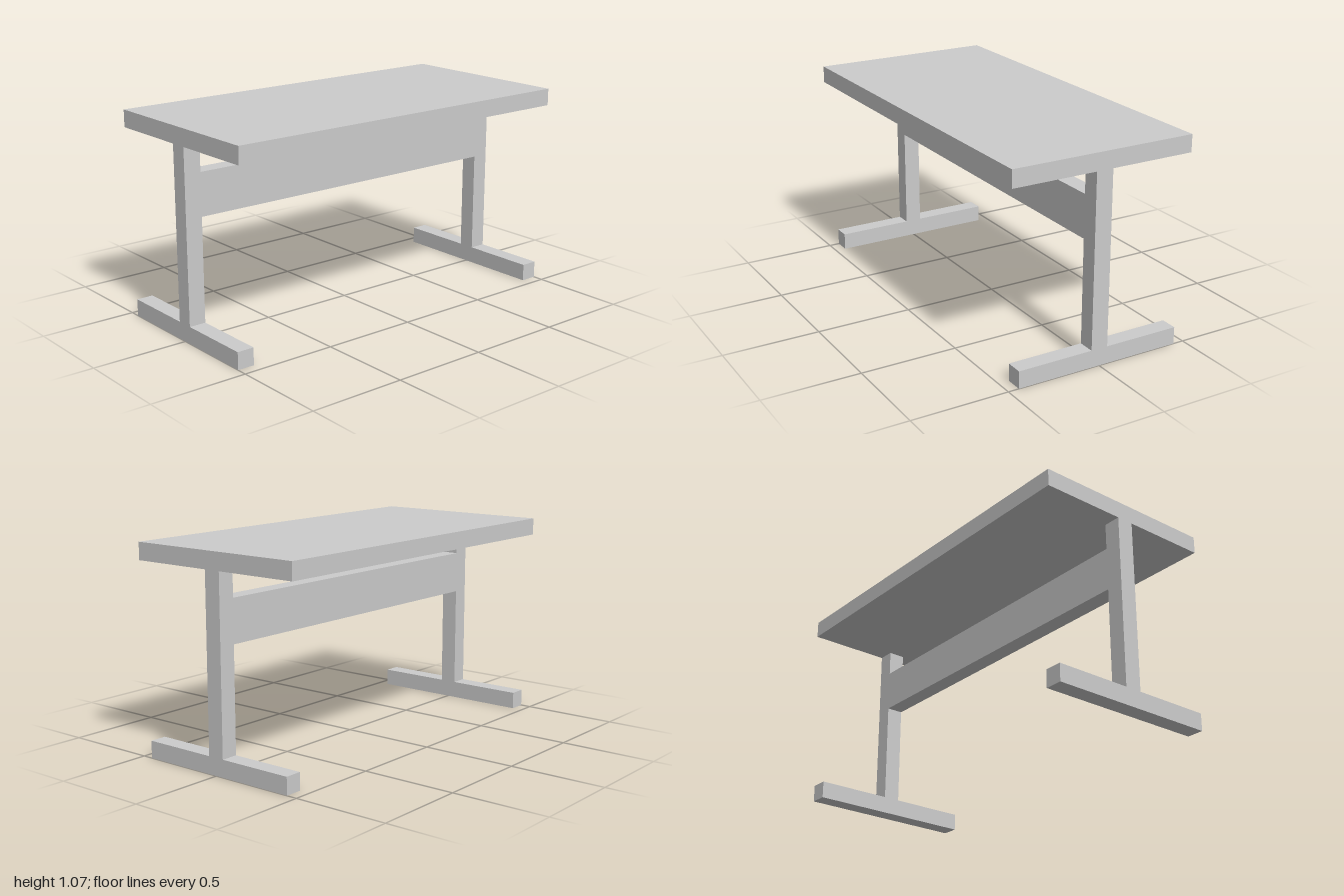
import * as THREE from 'three';

const material = new THREE.MeshStandardMaterial({ color: 0xcccccc, flatShading: true });

// Box centred on x, standing on height y0 and reaching up to y1
function beam(name, width, y0, y1, depth, z = 0) {
  const mesh = new THREE.Mesh(new THREE.BoxGeometry(width, y1 - y0, depth), material);
  mesh.name = name;
  mesh.position.set(0, (y0 + y1) / 2, z);
  return mesh;
}

export function createModel() {
  const table = new THREE.Group();
  table.name = 'table';

  const thick = 0.089; // shared timber thickness
  const topY = 1.068;
  const underside = topY - thick;

  table.add(beam('tableTop', 0.976, underside, topY, 2));

  // T-shaped legs, flush with both ends of the top
  for (const [side, label] of [[1, 'front'], [-1, 'back']]) {
    const leg = new THREE.Group();
    leg.name = label + 'Leg';
    const z = side * (1 - thick / 2);
    leg.add(beam(label + 'Foot', 0.888, 0, thick, thick, z));
    leg.add(beam(label + 'Post', thick, thick, underside, thick, z));
    table.add(leg);
  }

  // Stretcher between the posts
  table.add(beam('stretcher', thick, 0.625, 0.845, 2 - 2 * thick));

  return table;
}
